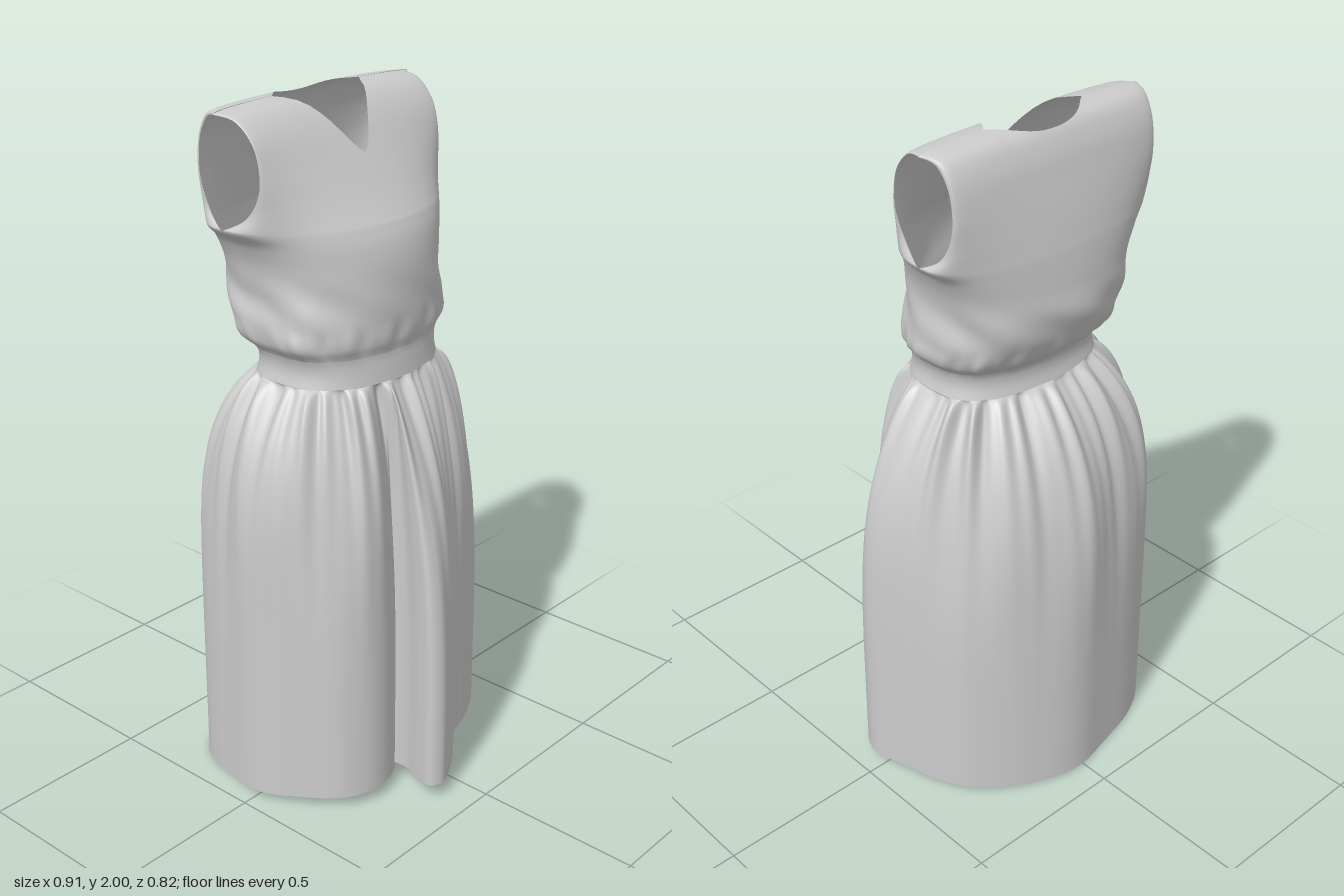
import * as THREE from 'three';
import { mergeGeometries, mergeVertices } from 'three/addons/utils/BufferGeometryUtils.js';

const CX = -0.03; // centre line of the torso
const lerp = THREE.MathUtils.lerp;
const bump = (v, c, w) => Math.exp(-(((v - c) / w) ** 2));

// Surface from a rule f(s, t) -> [x, y, z]; s runs counter-clockwise, t upward
function grid(f, ns, nt) {
  const pos = [], idx = [];
  for (let j = 0; j <= nt; j++)
    for (let i = 0; i <= ns; i++) pos.push(...f(i / ns, j / nt));
  for (let j = 0; j < nt; j++)
    for (let i = 0; i < ns; i++) {
      const a = j * (ns + 1) + i, b = a + 1, d = a + ns + 1, c = d + 1;
      idx.push(a, b, d, b, c, d);
    }
  const g = new THREE.BufferGeometry();
  g.setAttribute('position', new THREE.Float32BufferAttribute(pos, 3));
  g.setIndex(idx);
  return g;
}

function cloth(name, geometries) {
  const g = mergeVertices(mergeGeometries(geometries), 1e-4);
  g.computeVertexNormals();
  const m = new THREE.Mesh(g, new THREE.MeshStandardMaterial({
    color: 0xcccccc, roughness: 0.9, side: THREE.DoubleSide }));
  m.name = name;
  return m;
}

// Smooth interpolation through rows of [key, values...]
function table(rows) {
  const n = rows[0].length - 1;
  const it = new THREE.CubicInterpolant(
    rows.map(r => r[0]), rows.flatMap(r => r.slice(1)), n, new Float32Array(n));
  return k => Array.from(it.evaluate(k));
}

// Torso: height, half width, front z, back z, side seam z
const torso = table([
  [1.24, 0.275, 0.195, -0.21, -0.01],
  [1.29, 0.265, 0.19, -0.2, -0.01],
  [1.33, 0.275, 0.187, -0.21, -0.01],
  [1.36, 0.3, 0.195, -0.245, -0.02],
  [1.42, 0.305, 0.2, -0.28, -0.04],
  [1.5, 0.298, 0.2, -0.302, -0.06],
  [1.58, 0.31, 0.195, -0.297, -0.08],
  [1.64, 0.335, 0.182, -0.291, -0.1],
  [1.68, 0.355, 0.165, -0.286, -0.11],
]);
// Roundness of a torso section: 1 at mid front or back, 0 at the side seam
const fullness = a => Math.abs(Math.cos(a)) ** (Math.cos(a) > 0 ? 0.78 : 0.6);
// Small outward lip under the arm
const lip = a => 0.025 * Math.abs(Math.sin(a)) ** 14;

function torsoPoint(a, y) {
  const [hw, zf, zb, zm] = torso(y);
  const back = Math.cos(a) < 0;
  // uneven gathers above the waistband and soft drapes higher up
  const r = 1
    + 0.016 * bump(y, 1.375, 0.035) * (Math.sin(13 * a + 2 * Math.sin(2 * a)) + 0.6 * Math.sin(29 * a + 1))
    + 0.022 * bump(y, 1.47, 0.06) * Math.sin(7 * a + 28 * y) * (back ? 1 : 0.2 + 0.8 * Math.abs(Math.sin(a)));
  const z = zm + ((back ? zb : zf) - zm) * fullness(a) * r;
  return [CX + Math.sin(a) * (hw * r + lip(a) * bump(y, 1.68, 0.025)), y, z];
}

// Upper panels: profiles (y, z) at the middle and along the armhole, from underarm to shoulder
const profile = p => new THREE.SplineCurve(p.map(([y, z]) => new THREE.Vector2(y, z)));
const frontMid = profile([[1.68, 0.165], [1.75, 0.115], [1.84, 0.055], [1.93, -0.005], [1.982, -0.06], [1.997, -0.125]]);
const backMid = profile([[1.68, -0.286], [1.76, -0.27], [1.85, -0.248], [1.93, -0.225], [1.985, -0.19], [1.997, -0.125]]);
const frontArm = profile([[1.68, -0.11], [1.72, -0.04], [1.8, 0.005], [1.9, -0.005], [1.965, -0.06], [1.98, -0.125]]);
const backArm = profile([[1.68, -0.11], [1.715, -0.17], [1.8, -0.21], [1.9, -0.206], [1.965, -0.17], [1.98, -0.125]]);
const panelWidth = table([[0, 0.355], [0.2, 0.354], [0.5, 0.355], [0.8, 0.364], [1, 0.38]]);
const NECK = Math.sin(THREE.MathUtils.degToRad(27)); // neck corner across the shoulder

function panel(isFront) {
  const [mid, arm] = isFront ? [frontMid, frontArm] : [backMid, backArm];
  return grid((s, t) => {
    const a = (isFront ? -Math.PI / 2 : Math.PI / 2) + s * Math.PI;
    const u = Math.sin(a), r = Math.min(1, Math.abs(u) / NECK);
    // V neckline in front, shallow scoop behind
    const v = t * (isFront ? lerp(0.41, 1, r ** 1.4) : lerp(0.76, 1, r ** 2.4));
    const m = mid.getPoint(v), e = arm.getPoint(v), w = fullness(a);
    return [
      CX + u * (panelWidth(v)[0] + lip(a) * bump(v, 0, 0.15)),
      lerp(e.x, m.x, w),
      lerp(e.y, m.y, w),
    ];
  }, 60, 30);
}

// Hem outline (x, z) with the deep fold at the front
const hem = new THREE.CatmullRomCurve3([
  [-0.095, 0.41], [-0.04, 0.39], [0.05, 0.335], [0.14, 0.265], [0.23, 0.235], [0.35, 0.17],
  [0.43, 0.09], [0.45, 0.03], [0.42, -0.07], [0.38, -0.18], [0.32, -0.27], [0.19, -0.36],
  [0.03, -0.41], [-0.12, -0.385], [-0.29, -0.335], [-0.39, -0.26], [-0.44, -0.1], [-0.45, 0.02],
  [-0.4, 0.13], [-0.33, 0.23], [-0.25, 0.272], [-0.18, 0.272], [-0.115, 0.245], [-0.098, 0.225],
  [-0.095, 0.27], [-0.12, 0.34], [-0.128, 0.39],
].map(([x, z]) => new THREE.Vector3(x, 0, z)), true, 'centripetal');

function skirtPoint(s, t) {
  const h = hem.getPoint(s % 1);
  const a = Math.atan2(h.x - CX, h.z);
  const d = (1 - t) ** 1.7; // 0 at the waist, 1 at the hem
  const [wx, , wz] = torsoPoint(a, 1.25);
  // sides puff out quickly (more on the right), the front fold opens slowly
  const side = 6.3 - 1.6 * Math.sin(a);
  const p = lerp(side, 3.2, bump(a, -0.05, 0.6));
  const k = 1 - (1 - d) ** p;
  // uneven fine gathers under the waist, broader folds below
  const gather = 0.02 * Math.exp(-d * 6) * d / (d + 0.015)
    * (Math.sin(15 * a + 2 * Math.sin(3 * a)) + 0.7 * Math.sin(26 * a + 2) + 0.5 * Math.sin(41 * a));
  const fold = 0.012 * bump(d, 0.3, 0.22) * Math.sin(8 * a + 1 + d + Math.sin(2 * a)) * (1 - d);
  const o = gather + fold;
  return [
    lerp(wx, h.x, k) + Math.sin(a) * o,
    lerp(1.25, 0.025 + 0.06 * h.z + 0.01 * h.x, d),
    lerp(wz, h.z, k) + Math.cos(a) * o,
  ];
}

export function createModel() {
  const dress = new THREE.Group();
  dress.name = 'dress';
  const ring = (y0, y1, rows) =>
    grid((s, t) => torsoPoint(-Math.PI / 2 + s * 2 * Math.PI, lerp(y0, y1, t)), 120, rows);

  dress.add(
    cloth('bodice', [ring(1.33, 1.68, 40), panel(true), panel(false)]),
    cloth('waistband', [ring(1.25, 1.33, 8)]),
    cloth('skirt', [grid(skirtPoint, 378, 64)]),
  );
  return dress;
}
